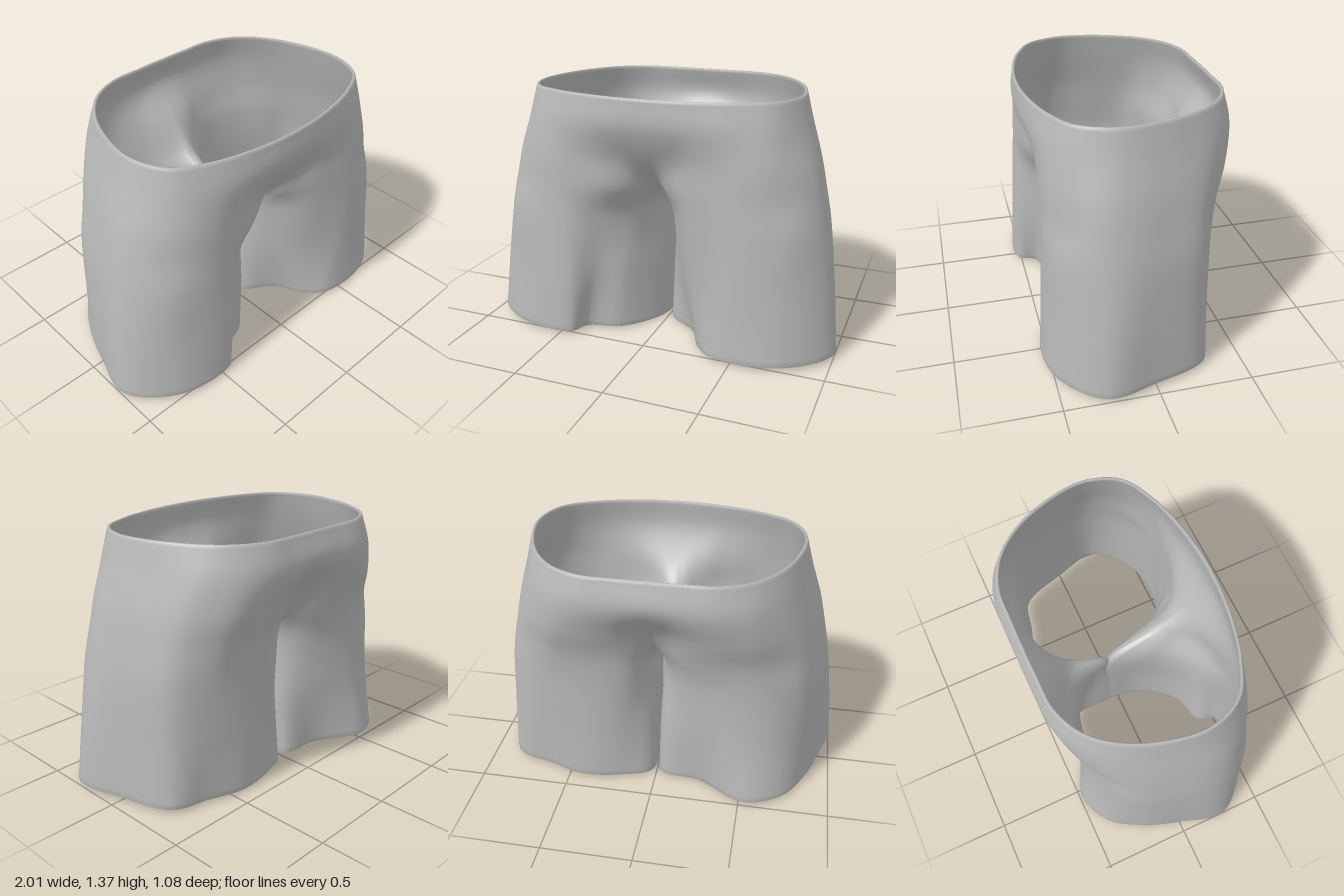
import * as THREE from 'three';
import { mergeVertices } from 'three/addons/utils/BufferGeometryUtils.js';

// Half sections as [x, z], from the front seam round the side to the back seam.
const TOP = [
  [1.37, [[0, .53], [.08, .528], [.17, .52], [.32, .495], [.49, .445], [.665, .345], [.745, .15], [.71, -.1], [.62, -.3], [.5, -.43], [.34, -.5], [.17, -.508], [.08, -.51], [0, -.51]]],
  [1.22, [[0, .53], [.08, .53], [.18, .525], [.33, .51], [.51, .472], [.69, .375], [.785, .17], [.75, -.1], [.66, -.32], [.53, -.46], [.36, -.53], [.17, -.54], [.08, -.54], [0, -.54]]],
  [1.03, [[0, .435], [.06, .437], [.15, .45], [.3, .48], [.5, .49], [.71, .415], [.842, .21], [.81, -.08], [.72, -.3], [.57, -.44], [.4, -.49], [.2, -.47], [.09, -.43], [0, -.41]]],
  [.87, [[0, .27], [.04, .31], [.11, .39], [.26, .465], [.5, .495], [.73, .425], [.878, .23], [.85, -.06], [.76, -.28], [.59, -.4], [.4, -.44], [.18, -.41], [.06, -.34], [0, -.29]]],
];
const LEFT = [
  [.7, [[0, -.05], [.045, .1], [.09, .26], [.24, .44], [.5, .5], [.75, .45], [.912, .24], [.885, -.05], [.79, -.28], [.62, -.37], [.4, -.415], [.15, -.38], [.045, -.23], [0, -.05]]],
  [.35, [[.005, -.05], [.035, .1], [.13, .25], [.27, .42], [.47, .51], [.76, .47], [.963, .26], [.92, -.03], [.815, -.28], [.63, -.36], [.4, -.405], [.17, -.37], [.03, -.26], [.005, -.05]]],
  [.02, [[.005, -.05], [.03, .12], [.2, .25], [.29, .42], [.4, .515], [.75, .505], [.997, .28], [.945, 0], [.835, -.29], [.64, -.35], [.42, -.41], [.18, -.37], [.03, -.3], [.005, -.05]]],
];
const RIGHT = [
  [.7, [[0, -.05], [.05, .1], [.12, .28], [.28, .42], [.46, .5], [.75, .45], [.912, .24], [.885, -.05], [.79, -.28], [.64, -.38], [.45, -.42], [.16, -.35], [.05, -.23], [0, -.05]]],
  [.35, [[.005, -.05], [.04, .12], [.17, .33], [.31, .41], [.43, .515], [.76, .47], [.963, .26], [.92, -.03], [.82, -.26], [.69, -.38], [.5, -.435], [.2, -.35], [.03, -.26], [.005, -.05]]],
  [.02, [[.005, -.05], [.04, .14], [.2, .35], [.38, .415], [.43, .52], [.76, .5], [.997, .28], [.94, 0], [.86, -.22], [.74, -.4], [.53, -.485], [.25, -.34], [.03, -.3], [.005, -.05]]],
];
const ROWS = 60, COLS = 104, LAST = 13, CROTCH = ROWS * 4 / 6, THICK = .017;

// Offset a row inward in plan, for the rims and the inner face.
function inset(row, d, dy) {
  return row.map((p, j) => {
    const a = row[Math.max(j - 1, 0)], b = row[Math.min(j + 1, COLS)];
    const tx = b.x - a.x, tz = b.z - a.z, l = Math.hypot(tx, tz) || 1;
    const q = new THREE.Vector3(p.x + tz / l * d, p.y + dy, p.z - tx / l * d);
    if (p.x === 0) q.x = 0;
    return q;
  });
}

function halfRows(sections) {
  const columns = sections[0][1].map((_, j) => new THREE.CatmullRomCurve3(
    sections.map(([y, pts]) => new THREE.Vector3(pts[j][0], y, pts[j][1]))));
  const rows = [];
  for (let i = 0; i <= ROWS; i++) {
    const v = i / ROWS;
    const pts = columns.map(c => c.getPoint(v));
    // The seams lie on the centre plane above the crotch and meet below it.
    if (i <= CROTCH) { pts[0].x = 0; pts[LAST].x = 0; }
    if (i >= CROTCH) pts[LAST].copy(pts[0]);
    const around = new THREE.CatmullRomCurve3(pts);
    const row = [];
    for (let j = 0; j <= COLS; j++) {
      const u = j / COLS, p = around.getPoint(u);
      // Soft hanging pleats and a gently dipping hem
      const w = .004 * Math.sin(Math.PI * u) ** 2 * Math.sin(Math.PI * v);
      p.z += w * Math.sin(u * 58 + v * 3);
      p.y += v ** 6 * (-.006 - .01 * Math.cos(2 * Math.PI * u));
      if (i <= CROTCH && (j === 0 || j === COLS)) p.x = 0;
      row.push(p);
    }
    rows.push(row);
  }
  // Outer face, rounded hem, inner face and rounded waist edge form one closed wall.
  const rim = inset(rows[0], THICK / 2, .004);
  const hem = inset(rows[ROWS], THICK / 2, -.004);
  const inner = rows.map(row => inset(row, THICK, 0)).reverse();
  return [rim, ...rows, hem, ...inner, rim];
}

function createModel() {
  const cloth = new THREE.MeshStandardMaterial({ color: 0xb8b8b8, side: THREE.DoubleSide });
  cloth.name = 'grey cloth';
  const positions = [], indices = [];
  // Both halves share welded centre seams.
  for (const [side, lower] of [[1, LEFT], [-1, RIGHT]]) {
    const rows = halfRows([...TOP, ...lower]);
    const base = positions.length / 3, n = COLS + 1;
    for (const row of rows) for (const p of row) positions.push(side * p.x, Math.max(p.y, 0), p.z);
    for (let i = 0; i < rows.length - 1; i++) {
      for (let j = 0; j < COLS; j++) {
        const a = base + i * n + j, b = a + 1, c = a + n, d = c + 1;
        if (side > 0) indices.push(a, c, b, b, c, d);
        else indices.push(a, b, c, b, d, c);
      }
    }
  }
  let geometry = new THREE.BufferGeometry();
  geometry.setAttribute('position', new THREE.Float32BufferAttribute(positions, 3));
  geometry.setIndex(indices);
  geometry = mergeVertices(geometry, 1e-4);
  geometry.computeVertexNormals();
  const shorts = new THREE.Mesh(geometry, cloth);
  shorts.name = 'shorts';
  const group = new THREE.Group();
  group.name = 'looseShorts';
  group.add(shorts);
  return group;
}

export { createModel };
